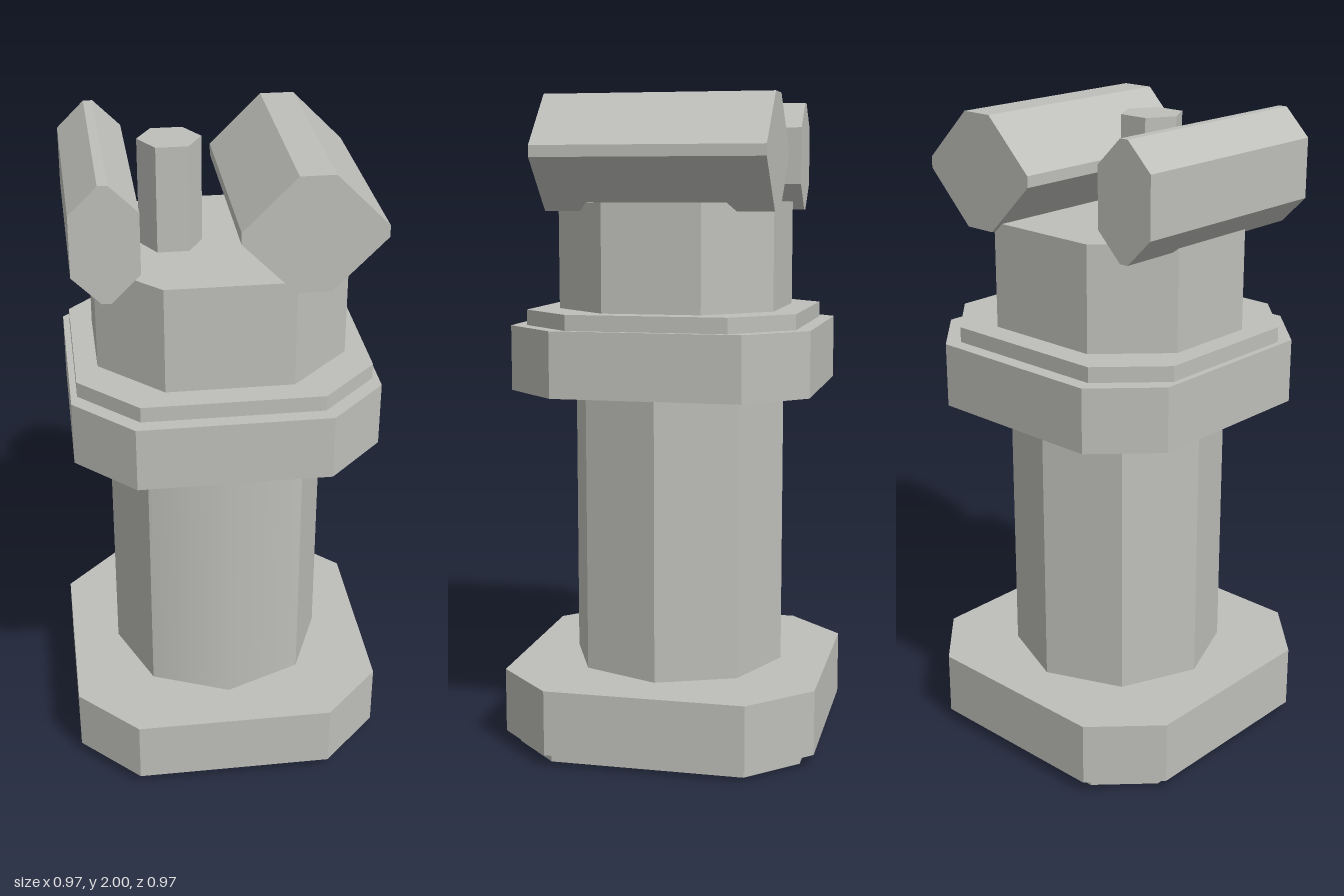
import * as THREE from 'three';

const stone = new THREE.MeshStandardMaterial({ color: 0xbebeba });
stone.name = 'stone grey';

function add(group, name, geometry) {
  const mesh = new THREE.Mesh(geometry, stone);
  mesh.name = name;
  group.add(mesh);
  return mesh;
}

function extrude(points, depth) {
  const shape = new THREE.Shape(points.map(([x, y]) => new THREE.Vector2(x, y)));
  return new THREE.ExtrudeGeometry(shape, { depth, bevelEnabled: false });
}

// Rectangular slab with cut corners, from height y0 to y1
function slab(halfX, halfZ, cut, y0, y1) {
  const a = halfX - cut, b = halfZ - cut;
  return extrude([
    [a, -halfZ], [halfX, -b], [halfX, b], [a, halfZ],
    [-a, halfZ], [-halfX, b], [-halfX, -b], [-a, -halfZ],
  ], y1 - y0).rotateX(-Math.PI / 2).translate(0, y0, 0);
}

// Flat-sided prism with corners on the x axis
function prism(radius, sides, y0, y1) {
  const g = new THREE.CylinderGeometry(radius, radius, y1 - y0, sides)
    .rotateY(Math.PI / 2).translate(0, (y0 + y1) / 2, 0).toNonIndexed();
  g.computeVertexNormals();
  return g;
}

export function createModel() {
  const model = new THREE.Group();
  model.name = 'pillar';

  // Stepped base
  add(model, 'footPlate', slab(0.443, 0.443, 0.147, 0, 0.035));
  add(model, 'base', slab(0.486, 0.486, 0.18, 0.035, 0.235));

  // Eight-sided column, with the front seam softened
  const column = prism(0.336, 8, 0.235, 1.115);
  const p = column.attributes.position, n = column.attributes.normal;
  for (let i = 0; i < p.count; i++) {
    if (Math.abs(p.getX(i)) < 0.001 && p.getZ(i) > 0.3 && Math.abs(n.getY(i)) < 0.5) n.setXYZ(i, 0, 0, 1);
  }
  add(model, 'column', column);

  // Collar, trim and head
  add(model, 'collar', slab(0.457, 0.457, 0.172, 1.115, 1.313));
  add(model, 'collarTrim', slab(0.438, 0.412, 0.171, 1.313, 1.36));
  add(model, 'head', slab(0.371, 0.332, 0.183, 1.36, 1.683));

  // Hexagonal post
  add(model, 'post', prism(0.093, 6, 1.68, 2)).position.x = -0.134;

  // Long bars lying front to back across the head
  const bar = (cx, halfX, flatX, flatY) => extrude([
    [cx - flatX, 1.657], [cx + flatX, 1.657], [cx + halfX, 1.829 - flatY], [cx + halfX, 1.829 + flatY],
    [cx + flatX, 2], [cx - flatX, 2], [cx - halfX, 1.829 + flatY], [cx - halfX, 1.829 - flatY],
  ], 0.694).translate(0, 0, -0.349);
  add(model, 'rightBar', bar(-0.345, 0.096, 0.014, 0.09));
  add(model, 'leftBar', bar(0.232, 0.206, 0.051, 0.017));

  return model;
}
